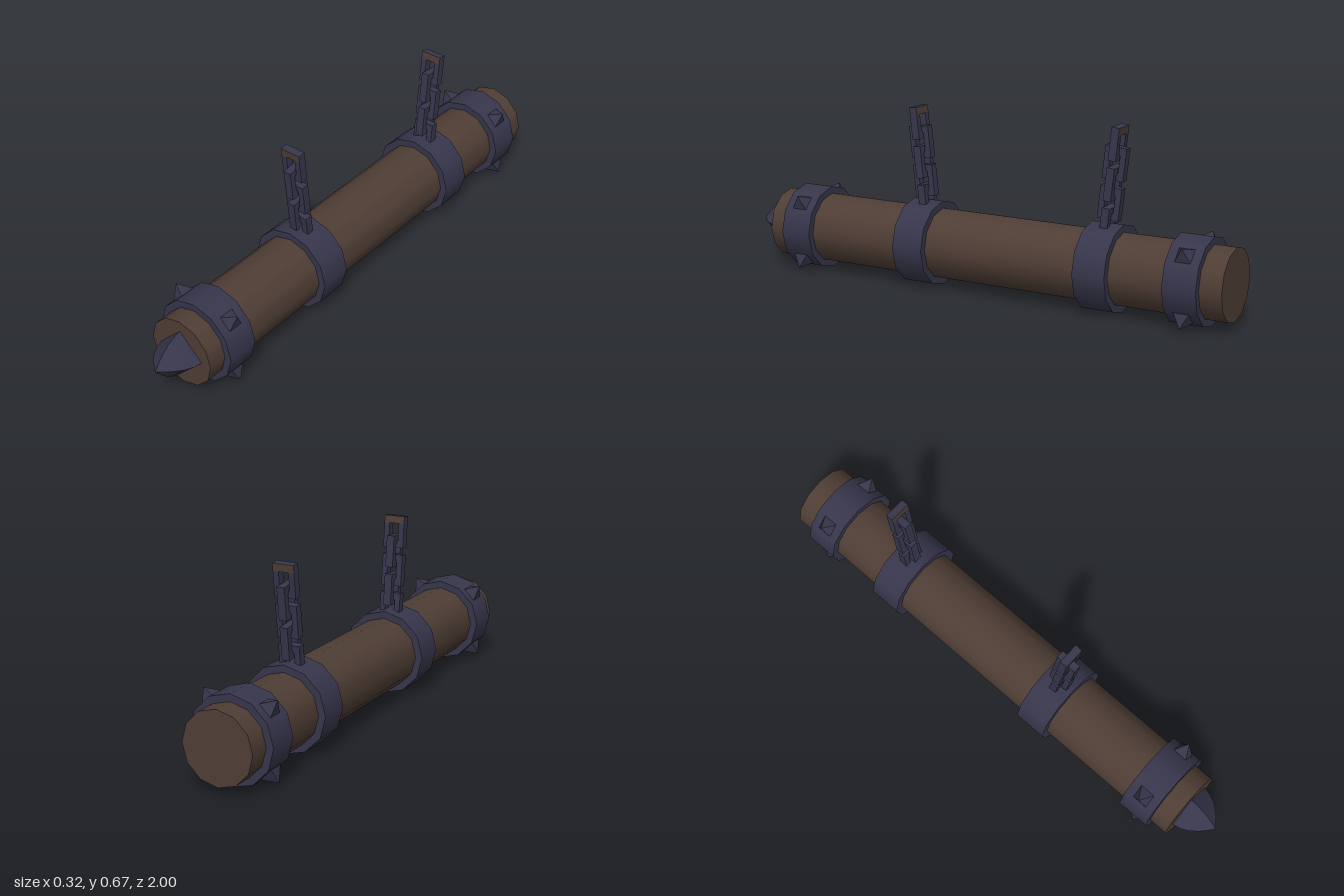
import * as THREE from 'three';
import { toCreasedNormals } from 'three/addons/utils/BufferGeometryUtils.js';

const wood = new THREE.MeshStandardMaterial({ color: 0x4f3e35 });
wood.name = 'darkWood';
const iron = new THREE.MeshStandardMaterial({ color: 0x37364c });
iron.name = 'darkIron';

const AXIS_Y = 0.162;

function add(parent, name, geometry, material, x = 0, y = 0, z = 0) {
  const mesh = new THREE.Mesh(geometry, material);
  mesh.name = name;
  mesh.position.set(x, y, z);
  parent.add(mesh);
  return mesh;
}

// Twelve-sided cylinder lying along z
function drum(radius, length) {
  return new THREE.CylinderGeometry(radius, radius, length, 12).rotateX(Math.PI / 2);
}

// Rectangular chain link standing in the xy plane
function makeLink(isTop) {
  const link = new THREE.Group();
  const w = 0.082, h = 0.12, depth = 0.03, side = 0.022, bar = 0.028;
  for (const s of [-1, 1]) {
    add(link, 'linkSide', new THREE.BoxGeometry(side, h - 2 * bar, depth), iron, s * (w - side) / 2);
    // The top link is closed by a bar with wooden faces
    const material = isTop && s > 0 ? [iron, iron, iron, wood, wood, wood] : iron;
    add(link, 'linkBar', new THREE.BoxGeometry(w, bar, depth), material, 0, s * (h - bar) / 2);
  }
  return link;
}

// Five links, alternately turned by a quarter
function makeChain(z, lean) {
  const chain = new THREE.Group();
  chain.name = 'chain';
  for (let i = 0; i < 5; i++) {
    const link = makeLink(i === 4);
    link.name = 'chainLink';
    link.position.y = i * 0.073;
    link.rotation.y = i % 2 ? Math.PI / 2 : 0;
    chain.add(link);
  }
  chain.position.set(0.002, 0.324, z);
  chain.rotation.x = lean;
  return chain;
}

export function createModel() {
  const model = new THREE.Group();
  model.name = 'batteringRam';

  // Log
  add(model, 'log', drum(0.134, 1.87), wood, 0, AXIS_Y, -0.065);

  // Curved four-sided ram tip
  const profile = [[0, 0], [0.093, 0], [0.086, 0.03], [0.072, 0.06], [0.045, 0.092], [0, 0.13]]
    .map(([r, y]) => new THREE.Vector2(r, y));
  const tip = toCreasedNormals(new THREE.LatheGeometry(profile, 4), 0.6);
  add(model, 'ramTip', tip.rotateX(Math.PI / 2), iron, 0, AXIS_Y, 0.87);

  // Iron bands
  for (const z of [0.735, 0.23, -0.515, -0.855]) {
    add(model, 'band', drum(0.161, 0.125), iron, 0, AXIS_Y, z);
  }

  // Four pyramid spikes on each end band
  const spike = toCreasedNormals(
    new THREE.ConeGeometry(0.054, 0.06, 4).rotateY(Math.PI / 4).translate(0, 0.171, 0), 0.3);
  for (const z of [0.735, -0.855]) {
    for (let i = 0; i < 4; i++) {
      add(model, 'spike', spike, iron, 0, AXIS_Y, z).rotation.z = Math.PI / 4 + i * Math.PI / 2;
    }
  }

  // Hanging chains leaning towards the ends
  model.add(makeChain(0.232, 0.11), makeChain(-0.518, -0.11));
  return model;
}
